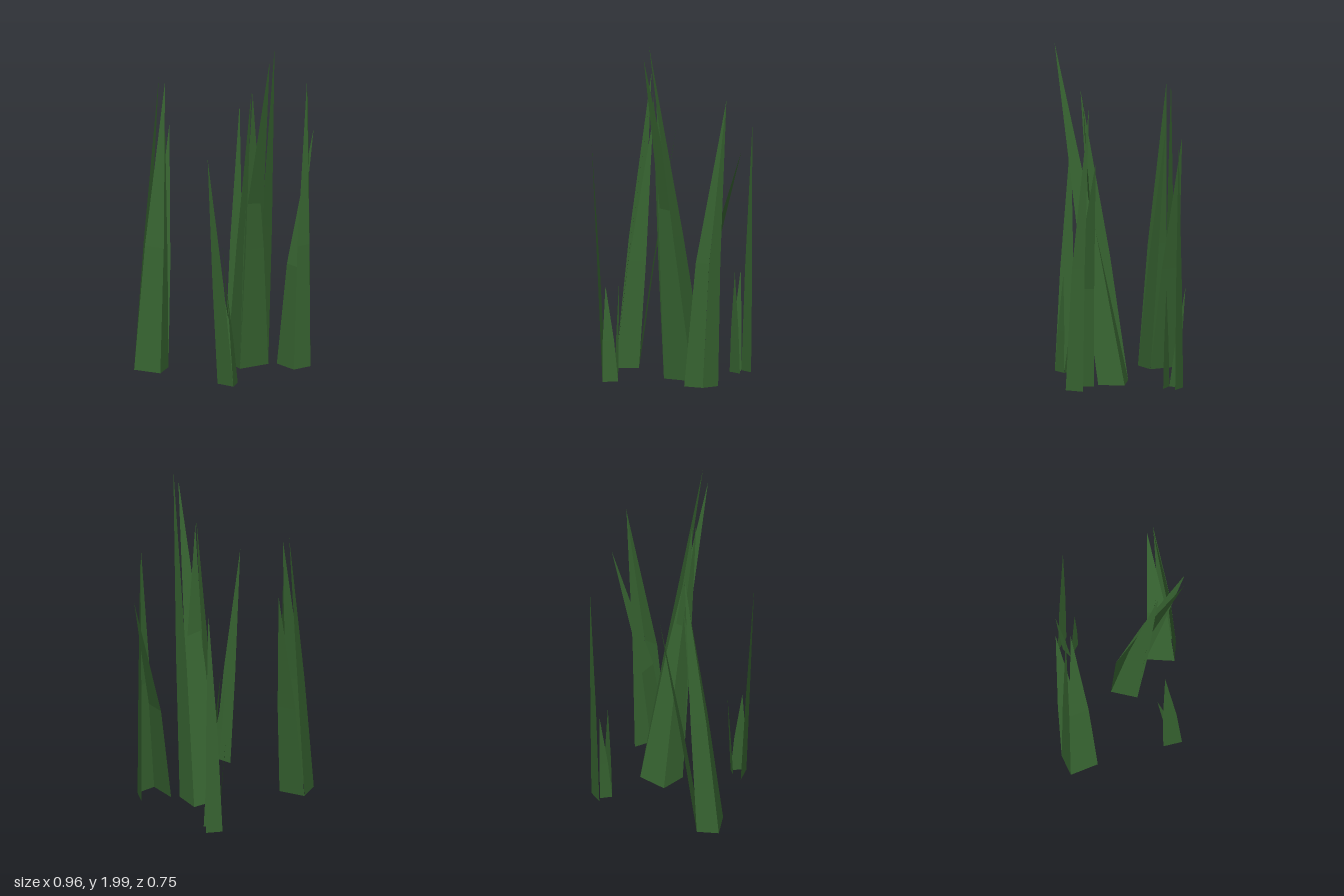
import * as THREE from 'three';

const BASE_Y = 0.012;   // height of the cut lower edges
const KNEE = 0.43;      // share of the blade height where it bends

// One flat-sided blade: a wide root edge, a narrower knee edge and a pointed tip.
function makeBlade(a, b, tip, lean, material) {
  const root = [a, b].map(([x, z]) => new THREE.Vector3(x, BASE_Y, z));
  const top = new THREE.Vector3(...tip);
  const mid = root[0].clone().add(root[1]).multiplyScalar(0.5);
  const knee = root.map((p) => {
    const k = mid.clone().lerp(top, lean).addScaledVector(p.clone().sub(mid), 0.72);
    k.y = BASE_Y + (top.y - BASE_Y) * KNEE;
    return k;
  });
  const corners = [
    root[0], root[1], knee[1],
    root[0], knee[1], knee[0],
    knee[0], knee[1], top,
  ];
  const geometry = new THREE.BufferGeometry().setFromPoints(corners);
  geometry.computeVertexNormals();
  const blade = new THREE.Mesh(geometry, material);
  blade.name = 'grassBlade';
  return blade;
}

// Each tuft: root corners [x, z], then blades [corner, corner, tip].
const tufts = [
  {
    name: 'centreTuft', lean: 0.42,
    roots: [[0.015, -0.05], [0.19, -0.01], [0.16, 0.14], [-0.03, 0.1]],
    blades: [
      [0, 1, [-0.055, 1.92, 0.37]],
      [1, 2, [-0.02, 2, 0.375]],
      [2, 3, [-0.035, 1.69, 0.21]],
      [3, 0, [-0.055, 1.71, 0.22]],
    ],
  },
  {
    name: 'frontLeftTuft', lean: 0.27,
    roots: [[0.2, 0.17], [0.18, 0.33], [0.3, 0.345], [0.36, 0.25]],
    blades: [
      [0, 1, [0.48, 1.38, 0.19]],
      [1, 2, [0.4, 1.69, 0.215]],
      [2, 3, [0.4, 1.69, 0.22]],
    ],
  },
  {
    name: 'backRightTuft', lean: 0.4,
    roots: [[-0.48, -0.315], [-0.425, -0.155], [-0.3, -0.215], [-0.36, -0.36]],
    blades: [
      [0, 1, [-0.245, 1.7, -0.3]],
      [1, 2, [-0.245, 1.46, -0.3]],
      [2, 3, [-0.13, 1.41, -0.38]],
      [3, 0, [-0.265, 1.73, -0.33]],
    ],
  },
  {
    name: 'frontRightTuft', lean: 0.4,
    roots: [[-0.34, 0.23], [-0.32, 0.34], [-0.24, 0.295], [-0.275, 0.26]],
    blades: [
      [0, 1, [-0.425, 1.38, 0.235]],
      [1, 2, [-0.32, 0.57, 0.29]],
      [2, 3, [-0.27, 0.58, 0.2]],
    ],
  },
  {
    name: 'backLeftTuft', lean: 0.4,
    roots: [[0.32, -0.22], [0.24, -0.265], [0.295, -0.31], [0.285, -0.34], [0.365, -0.285]],
    blades: [
      [0, 1, [0.28, 0.6, -0.243]],
      [1, 2, [0.275, 0.6, -0.355]],
      [3, 4, [0.365, 1.45, -0.305]],
    ],
  },
];

export function createModel() {
  const grass = new THREE.Group();
  grass.name = 'grass';
  const green = new THREE.MeshStandardMaterial({
    color: 0x376431, flatShading: true, side: THREE.DoubleSide,
  });
  for (const { name, lean, roots, blades } of tufts) {
    const tuft = new THREE.Group();
    tuft.name = name;
    for (const [i, j, tip] of blades) {
      tuft.add(makeBlade(roots[i], roots[j], tip, lean, green));
    }
    grass.add(tuft);
  }
  return grass;
}
